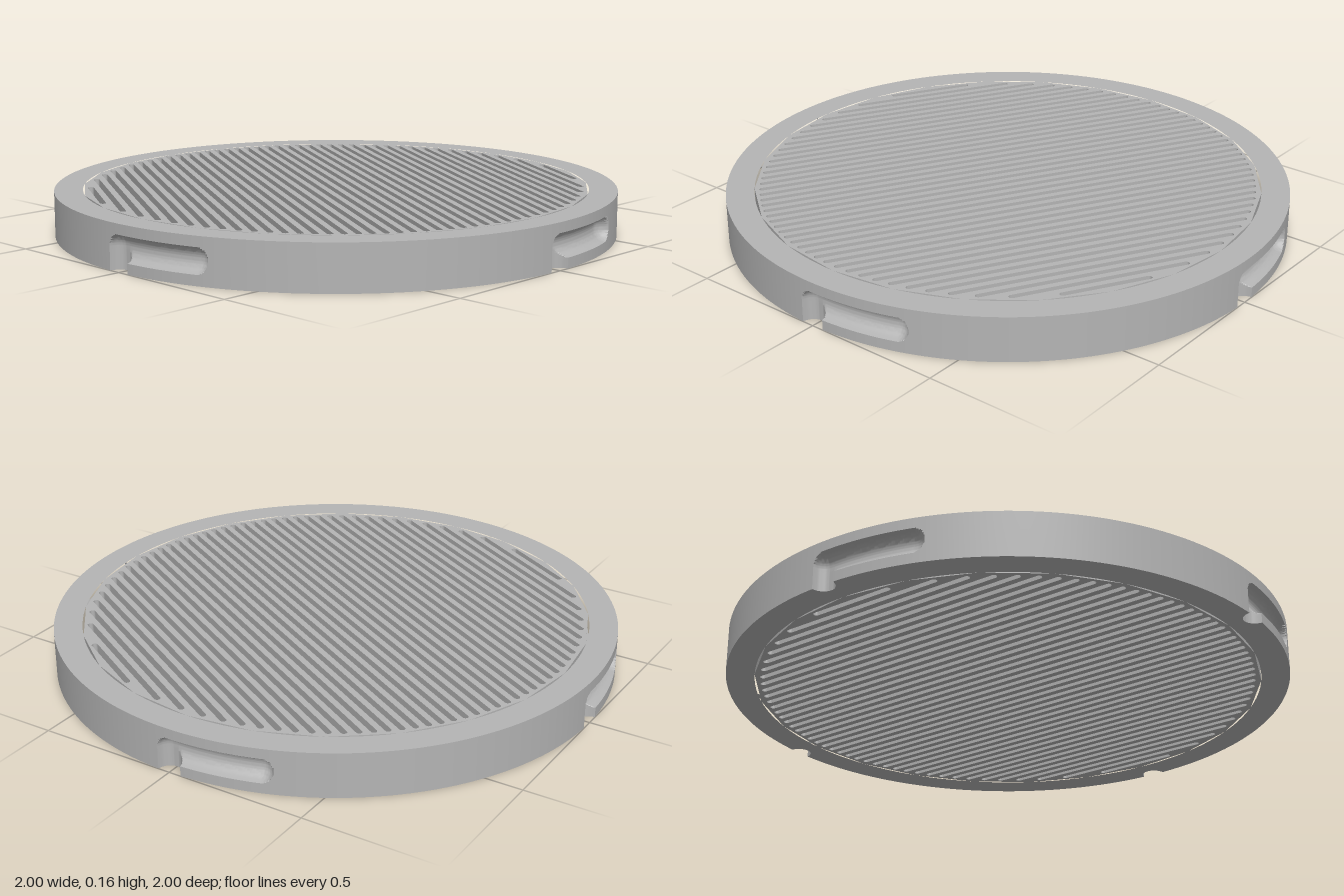
import * as THREE from 'three';
import { toCreasedNormals } from 'three/addons/utils/BufferGeometryUtils.js';

const H = 0.16;            // disc height
const INNER = 0.9;         // where the rim meets the slotted plates
const TRACK = 0.043;       // radius of the round locking track
const TRACK_Y = 0.08;
const TRACK_END = 0.32;    // angle where the track stops
const FLOOR = 0.05;        // slot depth

// Rim radius at an angle (measured from one track entry) and height
function rimRadius(a, y) {
  const entry = Math.hypot(a, Math.max(0, y - TRACK_Y));
  const run = Math.hypot(a - THREE.MathUtils.clamp(a, 0, TRACK_END), y - TRACK_Y);
  const d = Math.min(entry, run);
  return d < TRACK ? 1 - Math.sqrt(TRACK * TRACK - d * d) : 1;
}

// Angles round one quarter: fine over the track, coarser elsewhere
function quarterAngles() {
  const list = [];
  const fine = 110, coarse = 36, from = -0.06, mid = 0.38, to = Math.PI / 2 + from;
  for (let i = 0; i < fine; i++) list.push(from + (mid - from) * i / fine);
  for (let i = 0; i < coarse; i++) list.push(mid + (to - mid) * i / coarse);
  return list;
}

// Outer wall with four L-shaped tracks pressed into it
function rimWall() {
  const rows = 40, pos = [], index = [];
  const quarter = quarterAngles(), n = quarter.length * 4;
  for (let q = 0; q < 4; q++) {
    for (const a of quarter) {
      const t = a + q * Math.PI / 2;
      for (let j = 0; j <= rows; j++) {
        const y = H * j / rows, r = rimRadius(a, y);
        pos.push(Math.sin(t) * r, y, Math.cos(t) * r);
      }
    }
  }
  for (let i = 0; i < n; i++) {
    for (let j = 0; j < rows; j++) {
      const a = i * (rows + 1) + j, b = ((i + 1) % n) * (rows + 1) + j;
      index.push(a, b, b + 1, a, b + 1, a + 1);
    }
  }
  const g = new THREE.BufferGeometry();
  g.setAttribute('position', new THREE.Float32BufferAttribute(pos, 3));
  g.setIndex(index);
  return toCreasedNormals(g, 0.6);
}

// Flat rim face whose outline follows the wall at the given height
function rimFace(y, facing) {
  const pts = [];
  for (let q = 0; q < 4; q++) {
    for (const a of quarterAngles()) {
      const t = a + q * Math.PI / 2, r = rimRadius(a, y);
      pts.push(new THREE.Vector2(Math.sin(t) * r, facing * -Math.cos(t) * r));
    }
  }
  const shape = new THREE.Shape(pts);
  shape.holes.push(new THREE.Path().absarc(0, 0, INNER, 0, Math.PI * 2, true));
  return new THREE.ShapeGeometry(shape, 64).rotateX(-facing * Math.PI / 2).translate(0, y, 0);
}

// Round plate pierced by parallel round-ended slots
function slottedPlate(angle) {
  const pitch = 0.043, w = 0.0105, reach = 0.885;
  const shape = new THREE.Shape().absarc(0, 0, INNER, 0, Math.PI * 2, false);
  for (let k = -20; k <= 20; k++) {
    const v = k * pitch;
    const half = Math.sqrt(reach * reach - (Math.abs(v) + w) ** 2) - w;
    const slot = new THREE.Path();
    const at = (u) => [u * Math.cos(angle) - v * Math.sin(angle), u * Math.sin(angle) + v * Math.cos(angle)];
    slot.absarc(...at(half), w, angle + Math.PI / 2, angle - Math.PI / 2, true);
    slot.absarc(...at(-half), w, angle - Math.PI / 2, angle - Math.PI * 1.5, true);
    shape.holes.push(slot);
  }
  return new THREE.ExtrudeGeometry(shape, { depth: FLOOR, bevelEnabled: false, curveSegments: 12 })
    .rotateX(-Math.PI / 2);
}

export function createModel() {
  const group = new THREE.Group();
  group.name = 'slottedDisc';
  const grey = new THREE.MeshStandardMaterial({ color: 0xb4b4b4 });
  grey.name = 'grey';
  const add = (name, geometry) => {
    const mesh = new THREE.Mesh(geometry, grey);
    mesh.name = name;
    group.add(mesh);
  };

  // Rim
  add('rimWall', rimWall());
  add('rimTop', rimFace(H, 1));
  add('rimBottom', rimFace(0, -1));

  // Slotted faces, their slots turned 60 degrees to each other
  add('topGrille', slottedPlate(-Math.PI / 6).translate(0, H - FLOOR, 0));
  add('bottomGrille', slottedPlate(Math.PI / 2));

  // Solid core forming the slot floors
  add('core', new THREE.CylinderGeometry(INNER, INNER, H - 2 * FLOOR, 96).translate(0, H / 2, 0));
  return group;
}
